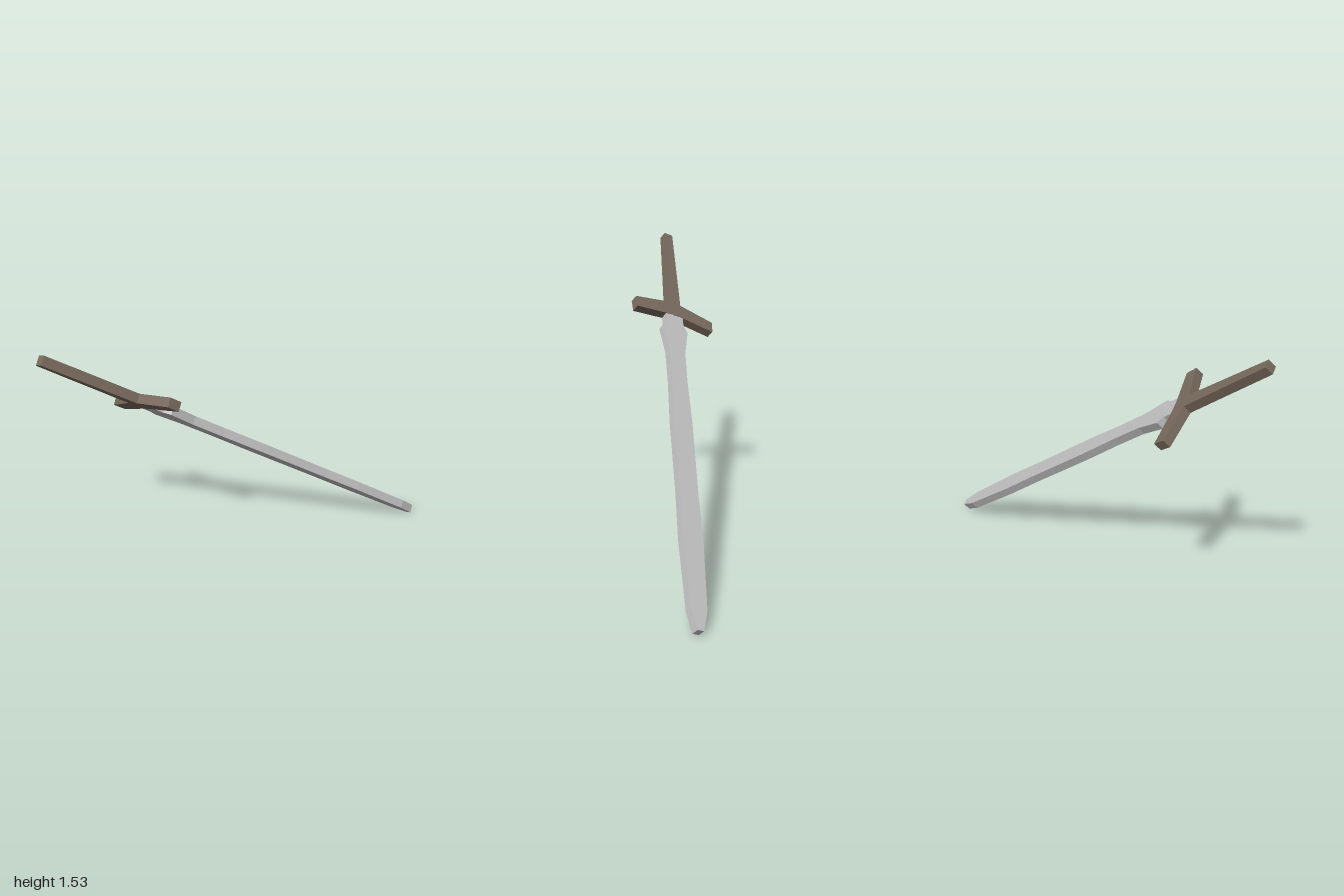
import * as THREE from 'three';

// Flat plate mirrored across its long axis; profile is [half width, position along the sword]
function plate(name, profile, thickness, material) {
  const right = profile.map(([u, s]) => new THREE.Vector2(u, s));
  const left = profile.map(([u, s]) => new THREE.Vector2(-u, s)).reverse();
  const shape = new THREE.Shape([...right, ...left]);
  const geometry = new THREE.ExtrudeGeometry(shape, { depth: thickness, bevelEnabled: false });
  geometry.translate(0, 0, -thickness / 2);
  const mesh = new THREE.Mesh(geometry, material);
  mesh.name = name;
  return mesh;
}

export function createModel() {
  const steel = new THREE.MeshStandardMaterial({ color: 0xc0c0c0, flatShading: true });
  steel.name = 'steel';
  const wood = new THREE.MeshStandardMaterial({ color: 0x786a5e, flatShading: true });
  wood.name = 'brownWood';

  const sword = new THREE.Group();
  sword.name = 'sword';

  // Blade: notched shoulder, slight waist, blunt point
  const blade = plate('blade', [
    [0.055, -0.67], [0.055, -0.6], [0.079, -0.56], [0.051, -0.4], [0.049, -0.2],
    [0.057, 0.07], [0.055, 0.53], [0.06, 0.79], [0.047, 1.175], [0.018, 1.285],
  ], 0.046, steel);
  blade.position.x = 0.004;

  // Crossguard: arms swept slightly toward the blade
  const guard = plate('crossguard', [
    [0.04, -0.745], [0.253, -0.7], [0.247, -0.63], [0.03, -0.657],
  ], 0.05, wood);

  // Grip: tapers to the pommel end
  const grip = plate('grip', [[0.026, -1.293], [0.04, -0.745]], 0.05, wood);

  sword.add(blade, guard, grip);

  // Tilted pose: width, length and thickness directions
  const along = new THREE.Vector3(0.301, -0.575, -0.761).normalize();
  const across = new THREE.Vector3(0.915, 0.4, 0.06);
  const normal = new THREE.Vector3().crossVectors(across, along).normalize();
  across.crossVectors(along, normal);
  sword.quaternion.setFromRotationMatrix(new THREE.Matrix4().makeBasis(across, along, normal));
  sword.position.set(0.02, 0.765, 0);

  const model = new THREE.Group();
  model.name = 'swordModel';
  model.add(sword);
  return model;
}
